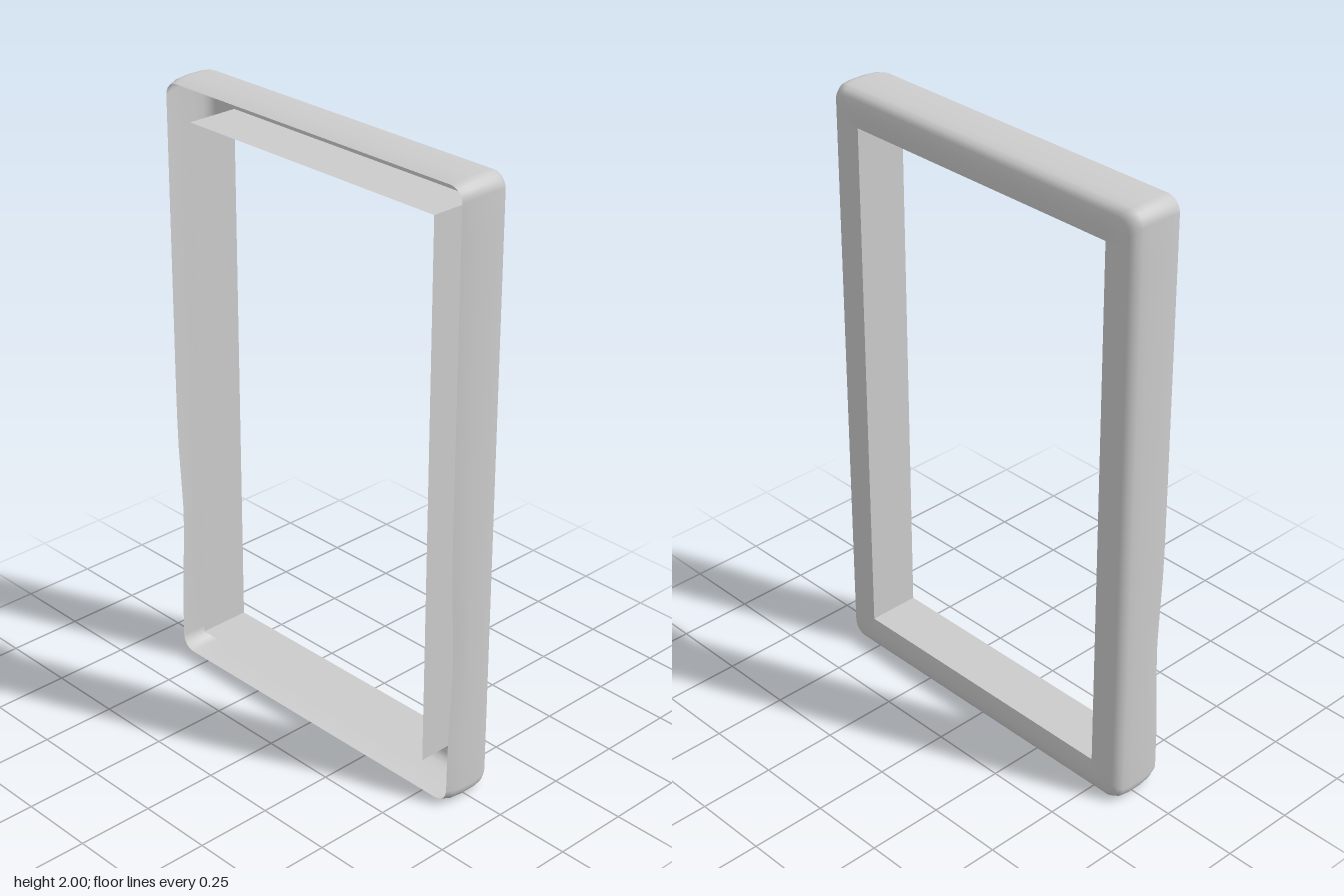
import * as THREE from 'three';

const HX = 0.505, HY = 0.885, CY = 1.0; // half size and centre height of the opening

// Closed loop round the opening, pushed outwards by d, with rounded corners
function loopPoints(d, cornerSteps, sideSteps) {
  const r = Math.min(d, 0.045), pts = [];
  const signs = [[1, -1], [1, 1], [-1, 1], [-1, -1]];
  signs.forEach(([sx, sy], k) => {
    const cx = sx * (HX + d - r), cy = sy * (HY + d - r);
    for (let i = 0; i <= cornerSteps; i++) {
      const a = (k - 1) * Math.PI / 2 + (cornerSteps ? i / cornerSteps : 0.5) * Math.PI / 2;
      pts.push([cx + r * Math.cos(a), cy + r * Math.sin(a)]);
    }
    // intermediate points on the straight run to the next corner
    const [nx, ny] = signs[(k + 1) % 4];
    const a = (k * Math.PI) / 2;
    const p = [cx + r * Math.cos(a), cy + r * Math.sin(a)];
    const q = [nx * (HX + d - r) + r * Math.cos(a), ny * (HY + d - r) + r * Math.sin(a)];
    for (let i = 1; i < sideSteps; i++) {
      const t = i / sideSteps;
      pts.push([p[0] + (q[0] - p[0]) * t, p[1] + (q[1] - p[1]) * t]);
    }
  });
  return pts;
}

// Skin a cross-section of [outward distance, z] round the opening
function sweep(profile, cornerSteps, sideSteps, wobble) {
  const pos = [], index = [];
  let n = 0;
  profile.forEach(([d, z]) => {
    const loop = loopPoints(d, cornerSteps, sideSteps);
    n = loop.length;
    loop.forEach(([x, y]) => {
      const dip = z > 0.05 ? wobble * Math.exp(-(((y + 0.5) / 0.2) ** 2)) : 0;
      pos.push(x, y + CY, z - dip);
    });
  });
  for (let j = 0; j < profile.length - 1; j++) {
    for (let i = 0; i < n; i++) {
      const a = j * n + i, b = j * n + (i + 1) % n;
      index.push(a, a + n, b, b, a + n, b + n);
    }
  }
  const g = new THREE.BufferGeometry();
  g.setAttribute('position', new THREE.Float32BufferAttribute(pos, 3));
  g.setIndex(index);
  g.computeVertexNormals();
  return g;
}

export function createModel() {
  const group = new THREE.Group();
  group.name = 'frame';
  const mat = new THREE.MeshStandardMaterial({ color: 0xcccccc, side: THREE.DoubleSide });

  // Soft outer shell: open at the front, rounded over to the back face
  const shell = new THREE.Mesh(sweep([
    [0.104, 0.09], [0.112, 0.06], [0.115, 0.02], [0.115, -0.03], [0.112, -0.06],
    [0.104, -0.078], [0.088, -0.088], [0.06, -0.091], [0.03, -0.09], [0, -0.086],
  ], 5, 16, 0.015), mat);
  shell.name = 'outerShell';
  group.add(shell);

  // Flat thin wall lining the opening
  const lining = sweep([[0, -0.086], [0, 0.088]], 0, 1, 0).toNonIndexed();
  lining.computeVertexNormals();
  const wall = new THREE.Mesh(lining, mat);
  wall.name = 'innerWall';
  group.add(wall);

  return group;
}
